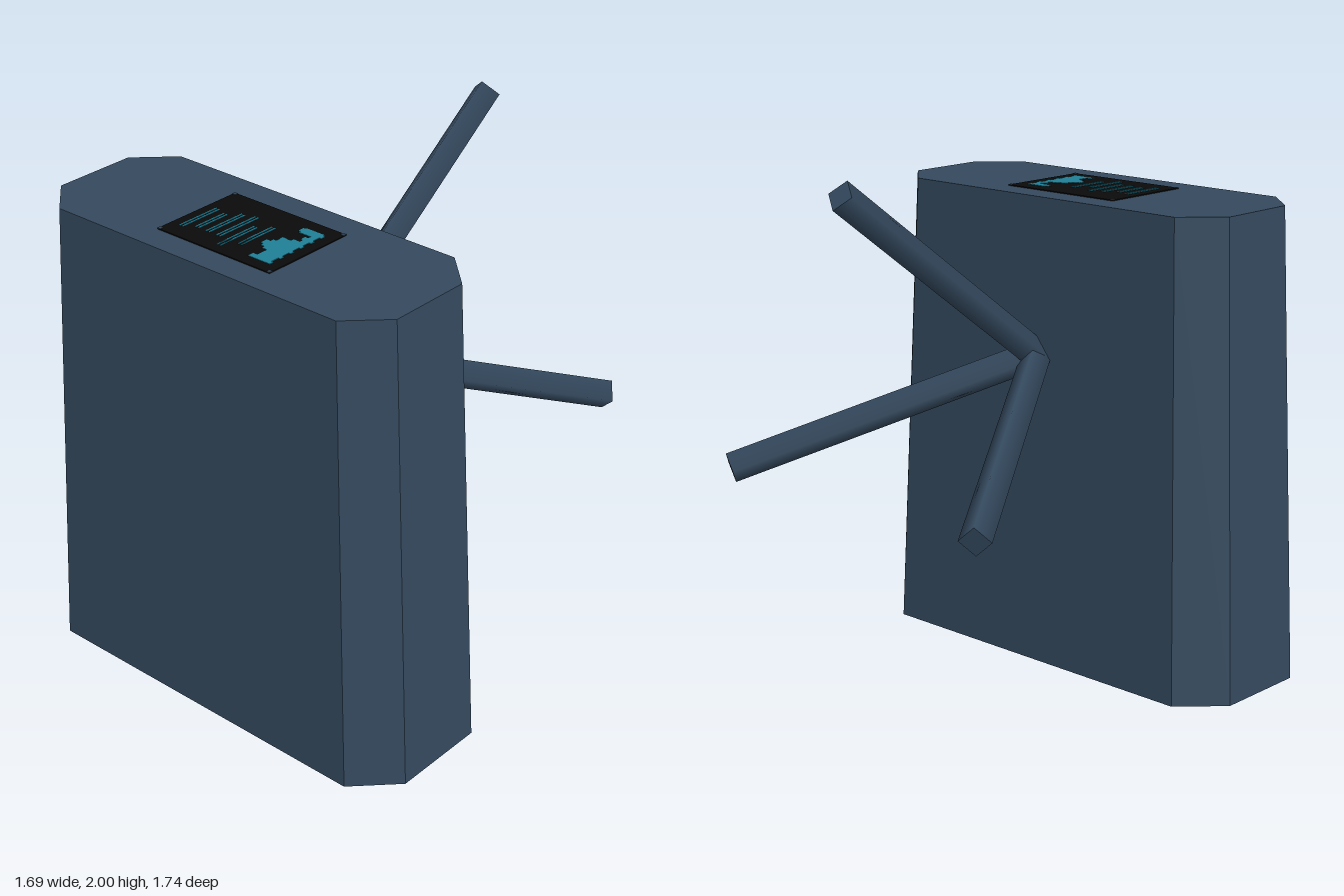
import * as THREE from 'three';

const slate = new THREE.MeshStandardMaterial({ name: 'slate', color: 0x34495e });
// Same slate colour with hard facets, for the casing
const slateFlat = slate.clone();
slateFlat.flatShading = true;
const black = new THREE.MeshStandardMaterial({ name: 'black', color: 0x0a0a0a });
const teal = new THREE.MeshStandardMaterial({ name: 'teal', color: 0x1f8097 });

const CX = -0.5;   // centre of the casing in x
const H = 1.83;    // casing height

// Thin horizontal plate given by its x and z limits
function plate(name, x0, x1, z0, z1, y, thick, material) {
  const mesh = new THREE.Mesh(new THREE.BoxGeometry(x1 - x0, thick, z1 - z0), material);
  mesh.position.set((x0 + x1) / 2, y + thick / 2, (z0 + z1) / 2);
  mesh.name = name;
  return mesh;
}

// Chamfered casing that narrows towards the top
function makeCasing() {
  const a = 0.345, b = 0.87, c = 0.155;
  const outline = new THREE.Shape([
    [a, b - c], [a - c, b], [c - a, b], [-a, b - c],
    [-a, c - b], [c - a, -b], [a - c, -b], [a, c - b],
  ].map(([x, y]) => new THREE.Vector2(x, y)));
  const geo = new THREE.ExtrudeGeometry(outline, { depth: H, bevelEnabled: false });
  geo.rotateX(-Math.PI / 2);
  const p = geo.attributes.position;
  for (let i = 0; i < p.count; i++) {
    const t = p.getY(i) / H;
    p.setX(i, p.getX(i) * (1 - 0.125 * t));
    p.setZ(i, p.getZ(i) * (1 - 0.098 * t));
  }
  geo.computeVertexNormals();
  const mesh = new THREE.Mesh(geo, slateFlat);
  mesh.position.x = CX;
  mesh.name = 'casing';
  return mesh;
}

// Four-sided rod with one edge uppermost
function makeRod(name, from, to) {
  const dir = to.clone().sub(from);
  const geo = new THREE.CylinderGeometry(0.059, 0.059, dir.length(), 4);
  geo.rotateX(Math.PI / 2);
  const mesh = new THREE.Mesh(geo, slate);
  mesh.position.copy(from).addScaledVector(dir, 0.5);
  mesh.lookAt(to);
  mesh.name = name;
  return mesh;
}

// Display panel with text rows, a bar chart and corner studs
function makeDisplay() {
  const g = new THREE.Group();
  g.name = 'display';
  const x0 = -0.695, x1 = -0.308, z0 = -0.265, z1 = 0.26;
  g.add(plate('screen', x0, x1, z0, z1, H, 0.004, black));
  const y = H + 0.004, th = 0.002;

  // Each row is a pair of fine lines: [left, right]
  const rows = [[-0.63, -0.446], [-0.603, -0.46], [-0.603, -0.423],
    [-0.603, -0.409], [-0.654, -0.469], [-0.603, -0.432]];
  rows.forEach(([l, r], i) => {
    for (const dz of [0, 0.014]) {
      const z = -0.222 + i * 0.0505 + dz;
      g.add(plate('rowLine', l, r, z - 0.003, z + 0.003, y, th, teal));
    }
  });

  // Stepped chart: [left edge, top edge], each step runs to the next one
  const steps = [[-0.649, 0.118], [-0.622, 0.137], [-0.575, 0.113], [-0.561, 0.095],
    [-0.547, 0.081], [-0.515, 0.099], [-0.501, 0.113], [-0.469, 0.15],
    [-0.455, 0.178], [-0.441, 0.169], [-0.418, 0.183], [-0.404, 0.127],
    [-0.395, 0.118], [-0.369, 0.127]];
  const end = -0.363, base = 0.21;
  const chart = new THREE.Shape();
  chart.moveTo(steps[0][0], -base);
  steps.forEach(([x, z], i) => {
    chart.lineTo(x, -z);
    chart.lineTo(i + 1 < steps.length ? steps[i + 1][0] : end, -z);
  });
  chart.lineTo(end, -base);
  const geo = new THREE.ExtrudeGeometry(chart, { depth: th, bevelEnabled: false });
  geo.rotateX(-Math.PI / 2);
  const mesh = new THREE.Mesh(geo, teal);
  mesh.position.y = y;
  mesh.name = 'chart';
  g.add(mesh);

  // Ticks under the chart
  for (let i = 0; i < 6; i++) {
    const x = -0.649 + i * 0.0515;
    g.add(plate('chartTick', x, x + 0.019, base, base + 0.009, y, th, teal));
  }

  // Corner studs
  for (const x of [x0, x1 - 0.014]) {
    for (const z of [z0, z1 - 0.014]) {
      g.add(plate('cornerStud', x, x + 0.014, z, z + 0.014, y, th, slate));
    }
  }
  return g;
}

export function createModel() {
  const model = new THREE.Group();
  model.name = 'casingWithRods';
  model.add(makeCasing(), makeDisplay());

  // Three rods fan out from one point on the left side
  const hub = new THREE.Vector3(-0.185, 1.227, 0);
  ['upperRod', 'frontRod', 'backRod'].forEach((name, i) => {
    const a = (i * 2 * Math.PI) / 3, r = 0.728;
    model.add(makeRod(name, hub,
      new THREE.Vector3(0.807, hub.y + r * Math.cos(a), r * Math.sin(a))));
  });
  return model;
}
